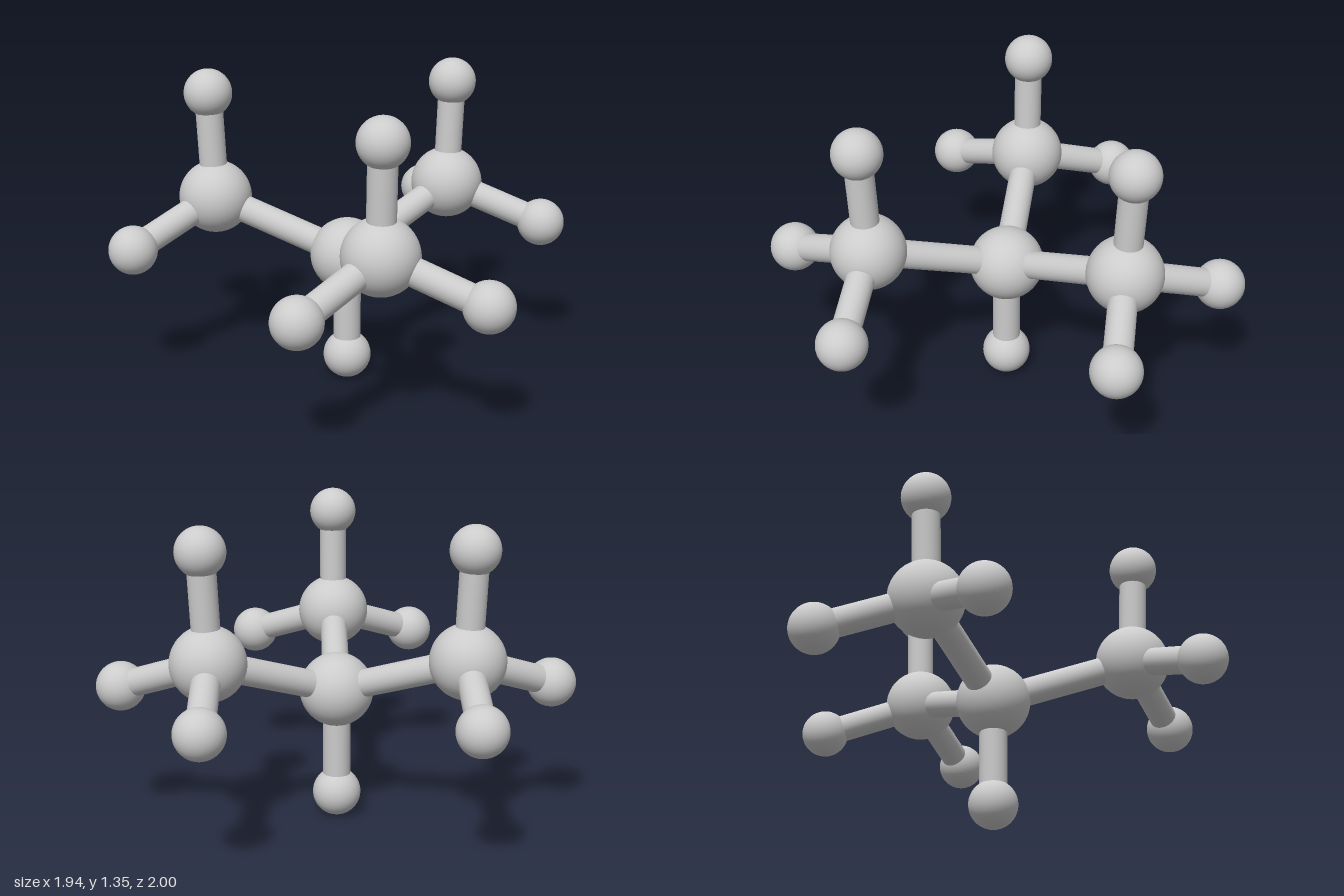
import * as THREE from 'three';

const HUB_RADIUS = 0.16;
const TIP_RADIUS = 0.105;
const ROD_RADIUS = 0.06;

export function createModel() {
  const model = new THREE.Group();
  model.name = 'ballAndStickModel';
  const material = new THREE.MeshStandardMaterial({ color: 0xcccccc });
  const hubGeometry = new THREE.SphereGeometry(HUB_RADIUS, 48, 32);
  const tipGeometry = new THREE.SphereGeometry(TIP_RADIUS, 40, 28);

  const addBall = (parent, name, geometry, position) => {
    const ball = new THREE.Mesh(geometry, material);
    ball.name = name;
    ball.position.copy(position);
    parent.add(ball);
  };

  // A straight rod between two ball centres
  const addRod = (parent, name, from, to) => {
    const direction = to.clone().sub(from);
    const rod = new THREE.Mesh(
      new THREE.CylinderGeometry(ROD_RADIUS, ROD_RADIUS, direction.length(), 32), material);
    rod.name = name;
    rod.position.copy(from).lerp(to, 0.5);
    rod.quaternion.setFromUnitVectors(new THREE.Vector3(0, 1, 0), direction.normalize());
    parent.add(rod);
  };

  // Central ball and the foot below it
  const centre = new THREE.Vector3(0, 0.575, 0);
  const foot = new THREE.Vector3(0, TIP_RADIUS, 0);
  addBall(model, 'centreBall', hubGeometry, centre);
  addBall(model, 'footBall', tipGeometry, foot);
  addRod(model, 'footRod', centre, foot);

  // Three identical arms, each with one upright and two side tips
  const hub = new THREE.Vector3(0.612, 0.78, 0);
  const tips = {
    upper: new THREE.Vector3(0.634, 1.245, 0),
    leftSide: new THREE.Vector3(0.84, 0.627, -0.375),
    rightSide: new THREE.Vector3(0.84, 0.627, 0.375),
  };
  for (let i = 0; i < 3; i++) {
    const arm = new THREE.Group();
    arm.name = `arm${i + 1}`;
    addBall(arm, 'armBall', hubGeometry, hub);
    addRod(arm, 'armRod', centre, hub);
    for (const [name, tip] of Object.entries(tips)) {
      addBall(arm, `${name}Ball`, tipGeometry, tip);
      addRod(arm, `${name}Rod`, hub, tip);
    }
    arm.rotation.y = THREE.MathUtils.degToRad(48.7 + i * 120);
    model.add(arm);
  }

  // Offset that centres the overall bounds
  model.position.set(0.03, 0, -0.02);
  return model;
}
